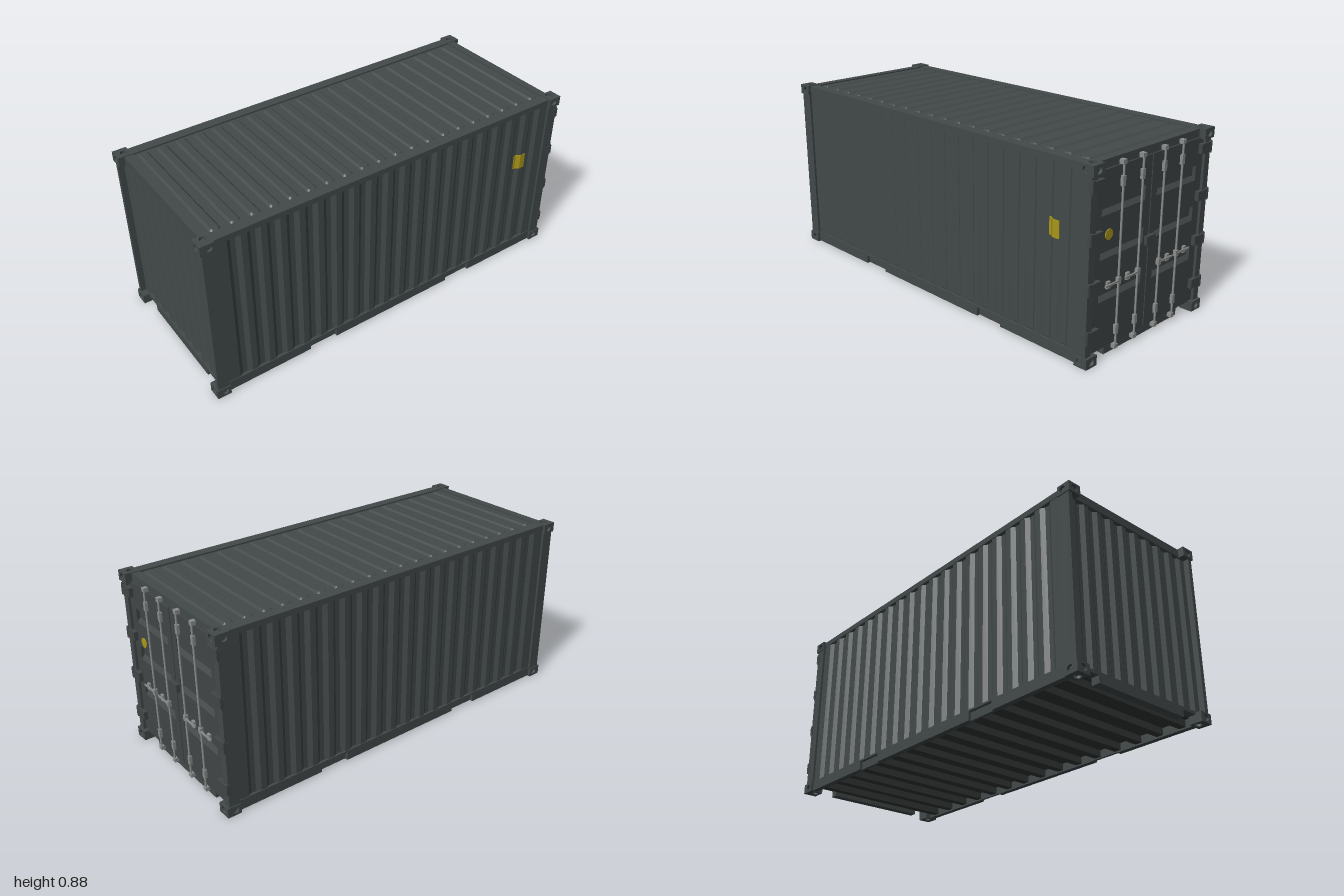
import * as THREE from 'three';

const mat = (name, color, extra = {}) => Object.assign(new THREE.MeshStandardMaterial({ color, ...extra }), { name });

export function createModel() {
  const root = new THREE.Group();
  root.name = 'shippingContainer';
  const body = mat('slateBody', 0x434a4a);
  const door = mat('doorGrey', 0x424647);
  const under = mat('undersideGrey', 0x343836);
  const steel = mat('rodSteel', 0x8c8e8e);
  const yellow = mat('labelYellow', 0xa8961a);

  const add = (name, geo, m, parent = root) => {
    const mesh = new THREE.Mesh(geo, m);
    mesh.name = name;
    parent.add(mesh);
    return mesh;
  };
  // box from its limits on each axis
  const box = (name, m, x0, x1, y0, y1, z0, z1, parent = root) => {
    const b = add(name, new THREE.BoxGeometry(Math.abs(x1 - x0), y1 - y0, z1 - z0), m, parent);
    b.position.set((x0 + x1) / 2, (y0 + y1) / 2, (z0 + z1) / 2);
    return b;
  };
  const rectPath = (P, x0, x1, y0, y1) => {
    const p = new P();
    p.moveTo(x0, y0);
    p.lineTo(x1, y0);
    p.lineTo(x1, y1);
    p.lineTo(x0, y1);
    p.closePath();
    return p;
  };

  // trapezoid corrugation facing +z: recesses are cut at the given centres
  const DEPTH = 0.014;
  function corrugated(u0, u1, centres, half, slope, height, lift = 0) {
    const bends = [];
    for (const c of centres)
      bends.push([c - half, 0], [c - half + slope, -DEPTH], [c + half - slope, -DEPTH], [c + half, 0]);
    const at = u => {
      for (let i = 0; i + 1 < bends.length; i++) {
        const [a, da] = bends[i], [b, db] = bends[i + 1];
        if (u >= a && u <= b) return da + (db - da) * (u - a) / (b - a);
      }
      return 0;
    };
    const line = [[u0, at(u0)], ...bends.filter(b => b[0] > u0 && b[0] < u1), [u1, at(u1)]];
    const pts = line.map(([u, d]) => new THREE.Vector2(u, -d - lift));
    pts.push(new THREE.Vector2(u1, 0.02), new THREE.Vector2(u0, 0.02));
    const g = new THREE.ExtrudeGeometry(new THREE.Shape(pts), { depth: height, bevelEnabled: false });
    return g.rotateX(-Math.PI / 2);
  }

  // front end wall
  const frontCentres = Array.from({ length: 9 }, (_, i) => -0.314 + i * 0.0805);
  add('frontWall', corrugated(-0.39, 0.39, frontCentres, 0.028, 0.0185, 0.79), body).position.set(0, 0.048, 0.964);

  // long side walls
  const sideCentres = Array.from({ length: 19 }, (_, i) => -0.84 + i * 0.0938);
  const right = add('leftSideWall', corrugated(-0.94, 0.94, sideCentres, 0.032, 0.02, 0.8), body);
  right.rotation.y = Math.PI / 2;
  right.position.set(0.398, 0.052, 0);
  const mirrored = sideCentres.map(c => -c).reverse();
  const left = add('rightSideWall', corrugated(-0.94, 0.94, mirrored, 0.032, 0.02, 0.8), body);
  left.rotation.y = -Math.PI / 2;
  left.position.set(-0.398, 0.052, 0);

  // yellow label that follows the corrugation
  const label = add('sideLabel', corrugated(0.756, 0.82, sideCentres, 0.032, 0.02, 0.08, 0.003), yellow);
  label.rotation.y = Math.PI / 2;
  label.position.set(0.398, 0.525, 0);

  // roof sheet with pressed ribs
  box('roofSheet', body, -0.39, 0.39, 0.85, 0.868, -0.95, 0.95);
  const ribShape = new THREE.Shape();
  const rw = 0.335, rh = 0.017, rr = 0.008;
  ribShape.moveTo(-rw + rr, -rh);
  ribShape.lineTo(rw - rr, -rh);
  ribShape.quadraticCurveTo(rw, -rh, rw, -rh + rr);
  ribShape.lineTo(rw, rh - rr);
  ribShape.quadraticCurveTo(rw, rh, rw - rr, rh);
  ribShape.lineTo(-rw + rr, rh);
  ribShape.quadraticCurveTo(-rw, rh, -rw, rh - rr);
  ribShape.lineTo(-rw, -rh + rr);
  ribShape.quadraticCurveTo(-rw, -rh, -rw + rr, -rh);
  const ribGeo = new THREE.ExtrudeGeometry(ribShape, {
    depth: 0.002, bevelSize: 0.009, bevelThickness: 0.008, bevelSegments: 1, curveSegments: 3,
  }).rotateX(-Math.PI / 2);
  for (let i = 0; i < 20; i++) add('roofRib', ribGeo, body).position.set(0, 0.866, -0.889 + i * 0.0935);

  // floor and cross members
  box('floor', under, -0.39, 0.39, 0.045, 0.056, -0.95, 0.95);
  for (let i = 0; i < 15; i++) {
    const z = -0.875 + i * 0.125;
    box('crossMember', under, -0.385, 0.385, 0.012, 0.046, z - 0.018, z + 0.018);
  }

  // corner casting plate with a round opening
  const holed = (w, h, r) => {
    const s = rectPath(THREE.Shape, -w / 2, w / 2, -h / 2, h / 2);
    s.holes.push(new THREE.Path().absellipse(0, 0, r, r * 0.95, 0, Math.PI * 2, true));
    return new THREE.ExtrudeGeometry(s, { depth: 0.012, bevelEnabled: false, curveSegments: 10 });
  };
  const CX = 0.068, CY = 0.048, CZ = 0.068;

  for (const s of [-1, 1]) {
    // rails along the long sides
    box('topSideRail', body, s * 0.35, s * 0.401, 0.848, 0.876, -0.95, 0.95);
    for (const [a, b] of [[-0.94, -0.49], [-0.34, 0.345], [0.495, 0.94]])
      box('bottomSideRail', body, s * 0.375, s * 0.402, 0.004, 0.055, a, b);
    // forklift pockets
    for (const [a, b] of [[-0.49, -0.34], [0.345, 0.495]]) {
      box('pocketLintel', body, s * 0.375, s * 0.402, 0.046, 0.055, a, b);
      box('pocketBack', body, s * 0.375, s * 0.388, 0.006, 0.046, a, b);
    }
    // corner posts
    box('frontPost', body, s * 0.388, s * 0.409, 0.04, 0.84, 0.932, 0.992);
    box('rearPost', body, s * 0.372, s * 0.409, 0.04, 0.84, -0.988, -0.932);

    // corner castings, open on the three outer faces
    for (const top of [0, 1]) for (const e of [-1, 1]) {
      const c = new THREE.Group();
      c.name = 'cornerCasting';
      const t = 0.012, v = top ? 1 : -1;
      box('castingCore', body, -CX / 2, CX / 2 - t, -CY / 2 + (top ? 0 : t), CY / 2 - (top ? t : 0),
        -CZ / 2, CZ / 2 - t, c);
      add('castingEnd', holed(CX, CY, 0.0175), body, c).position.z = CZ / 2 - t;
      const side = add('castingSide', holed(CZ - t, CY, 0.016), body, c);
      side.rotation.y = Math.PI / 2;
      side.position.set(CX / 2 - t, 0, -t / 2);
      const cap = add('castingCap', holed(CX - t, CZ - t, 0.018), body, c);
      cap.rotation.x = -v * Math.PI / 2;
      cap.position.set(-t / 2, v * (CY / 2 - t), -t / 2);
      c.scale.set(s, 1, e);
      c.position.set(s * (0.414 - CX / 2), top ? 0.88 - CY / 2 : CY / 2, e * (1 - CZ / 2));
      root.add(c);
    }
  }

  // end rails, the lower ones notched beside the castings
  for (const [name, z0, z1] of [['front', 0.93, 0.97], ['rear', -0.968, -0.93]]) {
    box(name + 'TopRail', body, -0.35, 0.35, 0.835, 0.876, z0, z1);
    box(name + 'BottomRail', body, -0.262, 0.262, 0.004, 0.052, z0, z1);
    box(name + 'BottomRailTop', body, -0.375, 0.375, 0.038, 0.053, z0, z1);
  }

  // doors with three recessed panels each
  for (const s of [-1, 1]) {
    const d = new THREE.Group();
    d.name = s > 0 ? 'leftDoor' : 'rightDoor';
    root.add(d);
    const [x0, x1] = s > 0 ? [0.003, 0.37] : [-0.37, -0.003];
    const leaf = rectPath(THREE.Shape, x0, x1, 0.045, 0.838);
    const [p0, p1] = s > 0 ? [0.04, 0.325] : [-0.325, -0.04];
    for (const y of [0.265, 0.455, 0.645]) leaf.holes.push(rectPath(THREE.Path, p0, p1, y, y + 0.068));
    add('doorLeaf', new THREE.ExtrudeGeometry(leaf, { depth: 0.018, bevelEnabled: false }), door, d).position.z = -0.976;
    box('doorBack', door, x0, x1, 0.045, 0.838, -0.96, -0.945, d);
    // sloping lower lip of each recess
    for (const y of [0.265, 0.455, 0.645]) {
      const lip = add('recessLip', new THREE.ExtrudeGeometry(
        new THREE.Shape([new THREE.Vector2(0, 0), new THREE.Vector2(0.016, 0), new THREE.Vector2(0, 0.02)]),
        { depth: p1 - p0, bevelEnabled: false }), door, d);
      lip.rotation.y = Math.PI / 2;
      lip.position.set(p0, y, -0.96);
    }

    // hinges
    for (const y of [0.14, 0.355, 0.57, 0.79]) {
      box('hingeStrap', door, s * 0.335, s * 0.412, y - 0.022, y + 0.022, -0.996, -0.974, d);
      const pin = add('hingePin', new THREE.CylinderGeometry(0.008, 0.008, 0.056, 10), door, d);
      pin.position.set(s * 0.404, y, -0.99);
    }

    // locking rods with cams, guides and handles
    for (const r of [0.075, 0.205]) {
      const x = s * r;
      const rod = add('lockingRod', new THREE.CylinderGeometry(0.005, 0.005, 0.835, 10), steel, d);
      rod.position.set(x, 0.442, -0.984);
      for (const y of [0.03, 0.85]) box('rodCam', steel, x - 0.011, x + 0.011, y - 0.01, y + 0.01, -0.99, -0.966, d);
      for (const y of [0.11, 0.77]) box('rodGuide', steel, x - 0.009, x + 0.009, y - 0.022, y + 0.022, -0.99, -0.975, d);
      box('rodClamp', steel, x - 0.009, x + 0.009, 0.32, 0.35, -0.992, -0.975, d);
      box('rodHandle', steel, x, x + s * 0.092, 0.33, 0.339, -0.992, -0.986, d);
      box('handleCatch', steel, x + s * 0.055, x + s * 0.075, 0.318, 0.35, -0.987, -0.975, d);
    }
  }
  // lock box over the door gap and round label
  box('lockBox', door, -0.03, 0.03, 0.44, 0.48, -0.992, -0.975);
  const disc = add('roundLabel', new THREE.CylinderGeometry(0.024, 0.024, 0.004, 10), yellow);
  disc.rotation.x = Math.PI / 2;
  disc.position.set(0.275, 0.558, -0.978);

  return root;
}
